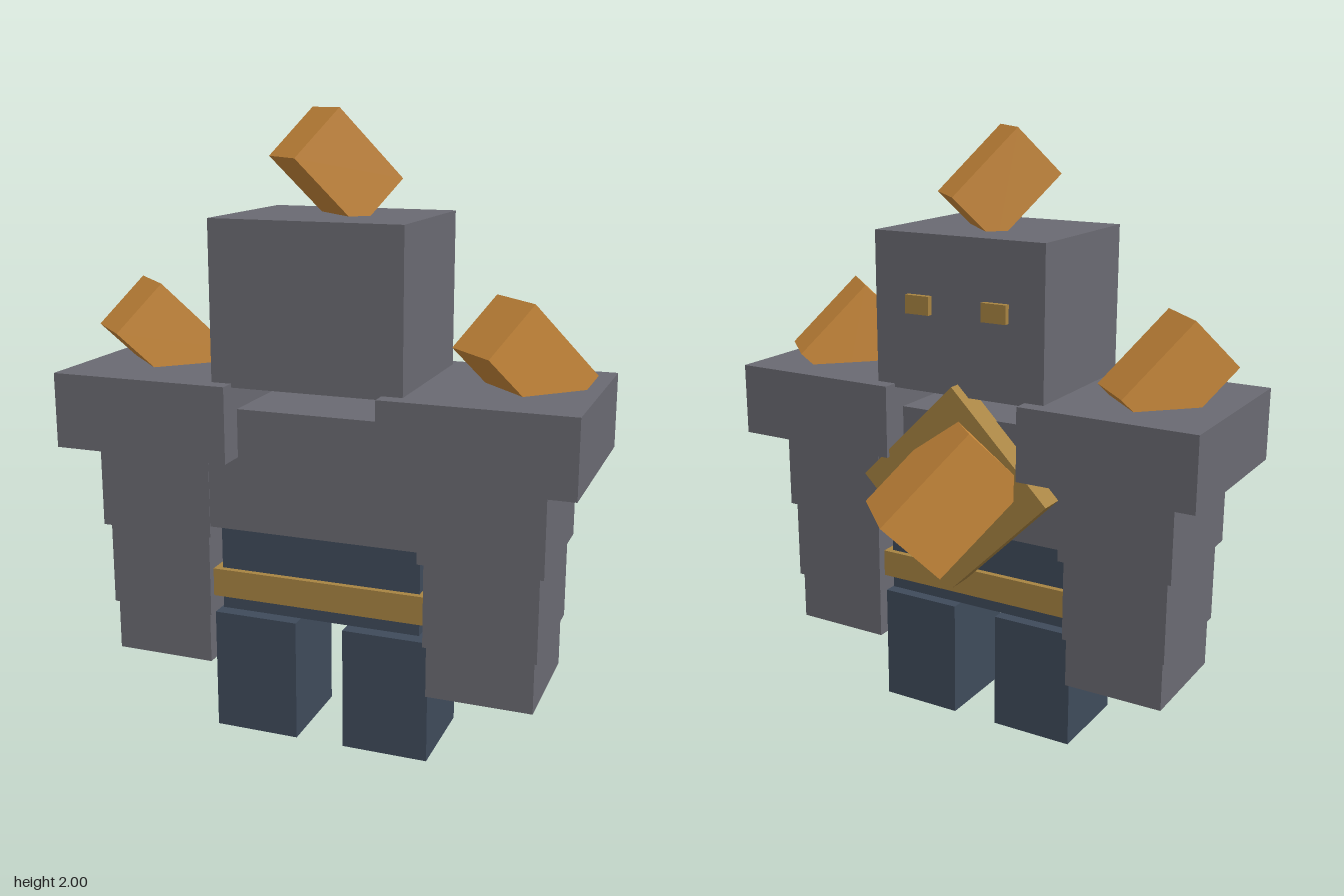
import * as THREE from 'three';

const material = (name, color) => {
  const m = new THREE.MeshStandardMaterial({ color });
  m.name = name;
  return m;
};

export function createModel() {
  const model = new THREE.Group();
  model.name = 'golem';
  const stone = material('stone grey', 0x6a6a72);
  const cloth = material('dark blue', 0x3f4b5b);
  const gold = material('dull gold', 0xa88442);
  const amber = material('amber', 0xcb8a3b);

  // Box given by its [min, max] range on each axis
  const block = (name, mat, [x0, x1], [y0, y1], [z0, z1]) => {
    const mesh = new THREE.Mesh(new THREE.BoxGeometry(x1 - x0, y1 - y0, z1 - z0), mat);
    mesh.position.set((x0 + x1) / 2, (y0 + y1) / 2, (z0 + z1) / 2);
    mesh.name = name;
    model.add(mesh);
    return mesh;
  };

  // Tilted crystal block, all leaning the same way
  const crystal = (name, length, width, x, y, z) => {
    const mesh = new THREE.Mesh(new THREE.BoxGeometry(length, width, width), amber);
    mesh.rotation.set(0, Math.PI / 4, -Math.PI / 4);
    mesh.position.set(x, y, z);
    mesh.name = name;
    model.add(mesh);
  };

  // Head and torso
  block('head', stone, [-0.305, 0.305], [1.18, 1.685], [-0.115, 0.4]);
  block('chest', stone, [-0.345, 0.345], [0.715, 1.105], [-0.07, 0.363]);
  block('waist', cloth, [-0.333, 0.333], [0.42, 0.695], [-0.01, 0.3]);
  block('belt', gold, [-0.358, 0.358], [0.465, 0.557], [-0.03, 0.32]);

  // Mirrored limbs and eyes
  for (const [side, s] of [['left', 1], ['right', -1]]) {
    const pair = (part, mat, [a, b], y, z) =>
      block(side + part, mat, s > 0 ? [a, b] : [-b, -a], y, z);
    pair('Shoulder', stone, [0.24, 0.828], [0.952, 1.192], [-0.167, 0.453]);
    pair('UpperArm', stone, [0.342, 0.727], [0.678, 0.96], [-0.073, 0.365]);
    pair('Forearm', stone, [0.357, 0.711], [0.405, 0.678], [-0.06, 0.345]);
    pair('Hand', stone, [0.366, 0.702], [0.238, 0.405], [-0.048, 0.335]);
    pair('Leg', cloth, [0.08, 0.362], [0, 0.4], [-0.012, 0.302]);
    pair('Eye', gold, [0.095, 0.182], [1.432, 1.492], [-0.135, -0.11]);
    crystal(side + 'ShoulderCrystal', 0.322, 0.212, s * 0.6, 1.27, 0.14);
  }

  // Diamond plate behind the chest
  const plate = block('diamondPlate', gold, [-0.24, 0.24], [0.64, 1.12], [-0.155, -0.066]);
  plate.rotation.z = Math.PI / 4;

  // Crystals on the plate and the head
  crystal('plateCrystal', 0.397, 0.263, 0, 0.878, -0.196);
  crystal('headCrystal', 0.295, 0.203, 0, 1.825, 0.138);

  return model;
}
